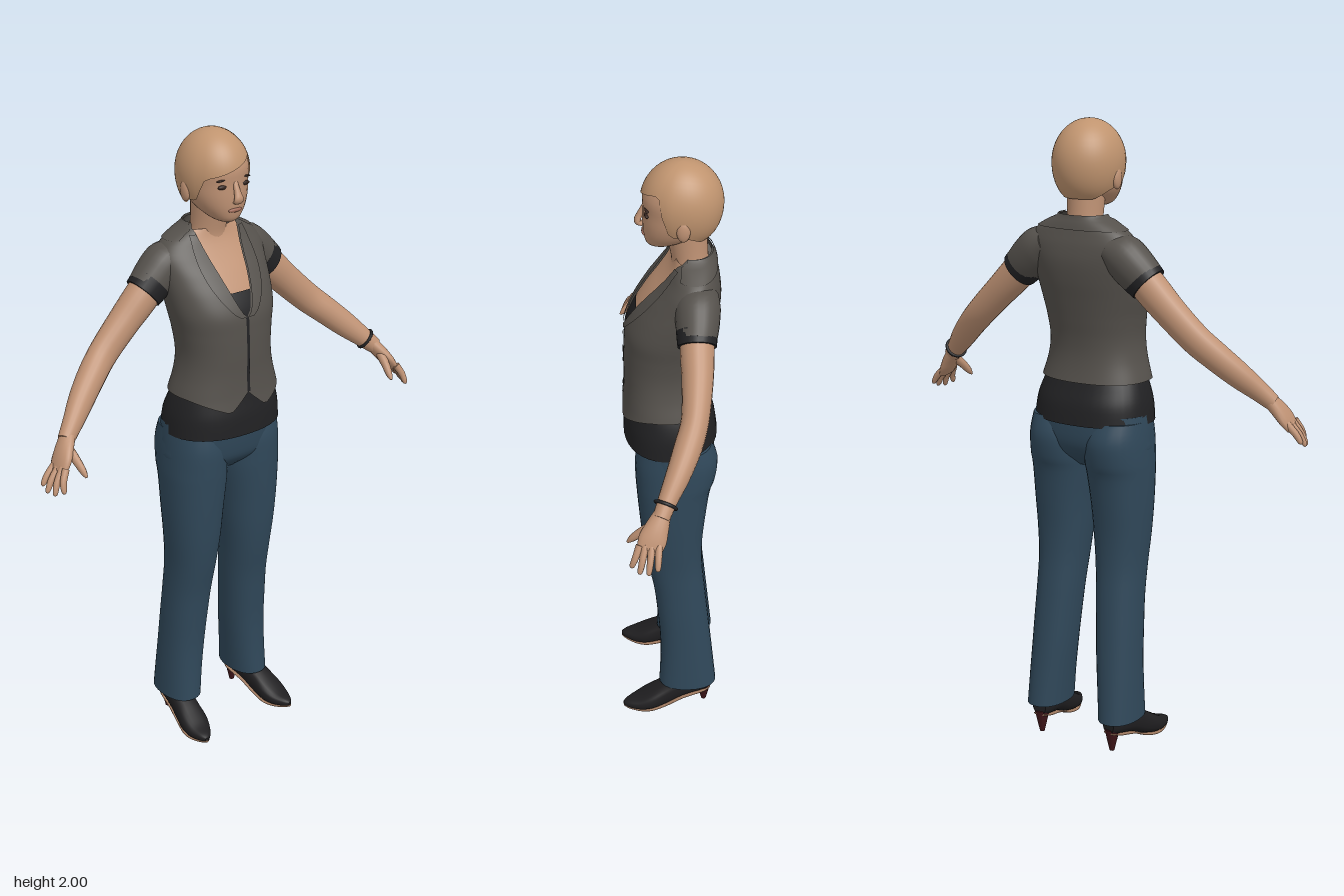
import * as THREE from 'three';

const mat = (name, color, side = THREE.FrontSide) => {
  const m = new THREE.MeshStandardMaterial({ color, side });
  m.name = name;
  return m;
};
const D = THREE.DoubleSide;
const skin = mat('skin', 0xbf9274, D), hair = mat('hair', 0xc0946f, D), vestCloth = mat('vest cloth', 0x55514c, D);
const black = mat('black cloth', 0x212123, D), denim = mat('denim', 0x30485a), leather = mat('shoe leather', 0x1f1e20);
const red = mat('dark red heel', 0x40161a), sole = mat('sole', 0xa07a60), dark = mat('eye brown', 0x33231d), lip = mat('lips', 0xa06a58);

const V = (x, y, z) => new THREE.Vector3(x, y, z);
const lerp = THREE.MathUtils.lerp;
const spow = (a, p) => Math.sign(a) * Math.abs(a) ** p;

// Smooth interpolation through rows of a table at index t
function sample(rows, t) {
  const n = rows.length - 1, i = Math.min(Math.floor(t), n - 1), f = t - i;
  const at = k => rows[Math.max(0, Math.min(n, k))];
  return rows[0].map((_, c) => {
    const [a, b, d, e] = [at(i - 1)[c], at(i)[c], at(i + 1)[c], at(i + 2)[c]];
    return b + 0.5 * f * (d - a + f * (2 * a - 5 * b + 4 * d - e + f * (3 * (b - d) + e - a)));
  });
}
function refine(rows, k = 4) {
  const out = [];
  for (let i = 0; i <= (rows.length - 1) * k; i++) out.push(sample(rows, i / k));
  return out;
}

// Skin a list of rings, facing outward
function loft(name, material, rings, { closed = true, caps = true } = {}) {
  const n = rings[0].length, pts = rings.flat(), idx = [];
  const cols = closed ? n : n - 1;
  for (let r = 0; r < rings.length - 1; r++) for (let j = 0; j < cols; j++) {
    const a = r * n + j, b = r * n + (j + 1) % n, c = a + n, d = b + n;
    idx.push(a, b, d, a, d, c);
  }
  if (closed && caps) [rings[0], rings[rings.length - 1]].forEach((ring, e) => {
    const s = pts.length, mid = ring.reduce((m, p) => m.add(p), V(0, 0, 0)).divideScalar(n);
    pts.push(...ring, mid);
    for (let j = 0; j < n; j++) {
      const k = (j + 1) % n;
      if (e) idx.push(s + j, s + k, s + n);
      else idx.push(s + k, s + j, s + n);
    }
  });
  let vol = 0;
  const o = pts[0], [A, B, C] = [V(), V(), V()];
  for (let i = 0; i < idx.length; i += 3) {
    A.subVectors(pts[idx[i]], o); B.subVectors(pts[idx[i + 1]], o); C.subVectors(pts[idx[i + 2]], o);
    vol += A.dot(B.cross(C));
  }
  if (vol < 0) idx.reverse();
  const g = new THREE.BufferGeometry().setFromPoints(pts);
  g.setIndex(idx);
  g.computeVertexNormals();
  const m = new THREE.Mesh(g, material);
  m.name = name;
  return m;
}

// Upright body from rows [y, xMin, xMax, zFront, zBack]
function hull(name, material, rows, s = 1, p = 0.9, n = 28) {
  return loft(name, material, refine(rows).map(([y, a, b, f, k]) => Array.from({ length: n }, (_, j) => {
    const t = j / n * 2 * Math.PI;
    return V(s * ((a + b) / 2 + (b - a) / 2 * spow(Math.sin(t), p)), y, (f + k) / 2 + (f - k) / 2 * spow(Math.cos(t), p));
  })));
}

// Limb along a path from rows [x, y, z, radius along depth, radius across]
function limb(name, material, rows, s = 1, n = 16, k = 4) {
  const rs = refine(rows, k), c = rs.map(r => V(s * r[0], r[1], r[2]));
  return loft(name, material, rs.map((r, i) => {
    const t = c[Math.min(i + 1, c.length - 1)].clone().sub(c[Math.max(i - 1, 0)]).normalize();
    const b = V(0, 0, 1).addScaledVector(t, -t.z).normalize(), m = t.clone().cross(b);
    return Array.from({ length: n }, (_, j) => {
      const a = j / n * 2 * Math.PI;
      return c[i].clone().addScaledVector(b, r[3] * Math.cos(a)).addScaledVector(m, r[4] * Math.sin(a));
    });
  }));
}
function ball(name, material, pos, size, rz = 0) {
  const m = new THREE.Mesh(new THREE.SphereGeometry(1, 20, 12), material);
  m.name = name; m.position.set(...pos); m.scale.set(...size); m.rotation.z = rz;
  return m;
}

// Torso surface: rows [y, half width, zFront, zBack]
const TORSO = [[1.14, .193, .152, -.143], [1.2, .176, .144, -.12], [1.27, .156, .14, -.107], [1.33, .149, .14, -.108],
  [1.4, .156, .138, -.12], [1.46, .168, .132, -.132], [1.52, .176, .105, -.144], [1.58, .182, .065, -.15],
  [1.63, .185, .025, -.145], [1.67, .155, 0, -.135], [1.695, .11, -.008, -.128], [1.715, .07, -.01, -.12]];
function torsoRow(y) {
  let i = 0;
  while (i < TORSO.length - 2 && y > TORSO[i + 1][0]) i++;
  return sample(TORSO, i + THREE.MathUtils.clamp((y - TORSO[i][0]) / (TORSO[i + 1][0] - TORSO[i][0]), 0, 1));
}
function torso(y, t, off = 0) {
  const [, w, f, b] = torsoRow(y);
  return V((w + off) * spow(Math.sin(t), .88), y, (f + b) / 2 + ((f - b) / 2 + off) * spow(Math.cos(t), .88));
}
// Angle of the neckline edge at height y, plus an extra width
function edge(y, extra = 0) {
  const x = .068 * Math.max(0, (y - 1.455) / .2) ** .6 + extra;
  return Math.asin(Math.min(.97, (x / torsoRow(y)[1]) ** (1 / .88)));
}
function patch(name, material, f, nu, nv) {
  return loft(name, material, Array.from({ length: nv + 1 }, (_, v) =>
    Array.from({ length: nu + 1 }, (_, u) => torso(...f(u / nu, v / nv)))), { closed: false });
}

function buildTorso(g) {
  // Vest with open neckline and pointed front hem
  g.add(patch('vest', vestCloth, (u, v) => {
    const y0 = lerp(1.2, 1.715, v), e = edge(y0), t = lerp(e, 2 * Math.PI - e, u);
    const x = Math.abs(torso(1.2, t).x), front = Math.cos(t) > 0;
    const drop = !front ? 0 : x < .06 ? lerp(.012, -.045, x / .06) : lerp(-.045, 0, Math.min(1, (x - .06) / .11));
    return [y0 + drop * (1 - v) ** 3, t, .002];
  }, 72, 48));
  for (const s of [1, -1])
    g.add(patch('lapel', vestCloth, (u, v) => {
      const y = lerp(1.455, 1.69, v);
      return [y, s * lerp(edge(y), edge(y, .008 + .04 * Math.sin(Math.PI * Math.min(1, v * .8 + .12))), u), .008];
    }, 6, 20));
  g.add(patch('collar', vestCloth, (u, v) => {
    const y = lerp(1.675, 1.718, v), e = Math.max(1, edge(y));
    return [y, lerp(e, 2 * Math.PI - e, u), .008];
  }, 36, 5));
  g.add(patch('vestSeam', black, (u, v) => [lerp(1.215, 1.455, v), lerp(-.02, .02, u), .005], 2, 14));
  // Chest and camisole inside the neckline
  g.add(patch('chest', skin, (u, v) => [lerp(1.44, 1.7, v), lerp(-1, 1, u), -.005], 20, 16));
  g.add(patch('camisole', black, (u, v) => [lerp(1.44, 1.525, v), lerp(-.35, .35, u), -.001], 10, 6));
  g.add(hull('undershirt', black, [[1.07, -.196, .196, .145, -.147], [1.13, -.19, .19, .142, -.138],
    [1.18, -.176, .176, .132, -.117], [1.22, -.158, .158, .125, -.1]], 1, .88, 40));
}

function buildHead(g) {
  g.add(hull('neck', skin, [[1.58, -.075, .075, .01, -.12], [1.66, -.062, .062, -.004, -.117],
    [1.71, -.056, .056, 0, -.112], [1.8, -.058, .058, .02, -.11]], 1, 1));
  g.add(hull('head', skin, [[1.733, -.022, .022, .058, .005], [1.745, -.045, .045, .071, -.03], [1.775, -.073, .073, .078, -.085],
    [1.81, -.089, .089, .08, -.115], [1.85, -.096, .096, .079, -.135], [1.9, -.098, .098, .078, -.14],
    [1.95, -.08, .08, .05, -.12], [1.98, -.04, .04, 0, -.07]], 1, .95, 32));
  // Short hair with a slanted fringe
  const rings = [], N = 48;
  for (let r = 0; r <= 18; r++) rings.push(Array.from({ length: N }, (_, j) => {
    const t = (j / N * 2 - 1) * Math.PI, a = Math.abs(t);
    const sweep = 1.9 + .035 * Math.sin(t), back = lerp(1.8, 1.765, THREE.MathUtils.smoothstep(a, 1.5, 2.4));
    const hem = lerp(sweep, back, THREE.MathUtils.smoothstep(a, .85, 1.25));
    const f = lerp(0, Math.acos((hem - 1.87) / .13), r / 18), k = f > Math.PI / 2 ? Math.sin(f) ** .75 : Math.sin(f);
    return V(.109 * k * Math.sin(t), 1.87 + .13 * Math.cos(f), -.035 + .122 * k * Math.cos(t));
  }));
  g.add(loft('hair', hair, rings, { caps: false }));
  // Face
  g.add(limb('nose', skin, [[0, 1.86, .074, .006, .008], [0, 1.83, .087, .009, .011], [0, 1.808, .094, .01, .017], [0, 1.798, .08, .006, .012]], 1, 12));
  g.add(ball('mouth', lip, [0, 1.774, .076], [.025, .007, .007]));
  for (const s of [1, -1]) {
    g.add(ball('eye', dark, [s * .04, 1.848, .068], [.018, .007, .007]));
    g.add(ball('eyebrow', dark, [s * .042, 1.869, .067], [.021, .003, .007], -s * .12));
    g.add(ball('ear', skin, [s * .101, 1.825, -.035], [.012, .033, .02]));
  }
}

function buildArm(s) {
  const g = new THREE.Group();
  g.name = s > 0 ? 'leftArm' : 'rightArm';
  g.add(limb('sleeve', vestCloth, [[.11, 1.62, -.078, .06, .05], [.15, 1.6, -.075, .067, .068], [.19, 1.565, -.073, .064, .068], [.222, 1.535, -.07, .058, .064]], s, 24));
  g.add(limb('sleeveCuff', black, [[.203, 1.552, -.071, .061, .067], [.236, 1.522, -.07, .057, .062]], s, 24));
  g.add(limb('arm', skin, [[.19, 1.565, -.072, .05, .055], [.25, 1.505, -.07, .05, .055], [.31, 1.448, -.068, .046, .051], [.39, 1.374, -.058, .041, .048],
    [.45, 1.322, -.035, .041, .045], [.51, 1.268, -.004, .036, .041], [.56, 1.222, .026, .029, .033], [.6, 1.185, .048, .025, .026]], s, 20));
  g.add(limb('palm', skin, [[.59, 1.195, .043, .025, .022], [.615, 1.163, .06, .035, .021], [.634, 1.135, .073, .041, .018], [.65, 1.11, .083, .036, .012]], s));
  // Fingers: knuckle to tip
  for (const [kz, x, y, z] of [[.055, .695, 1.068, .06], [.075, .696, 1.055, .086], [.094, .686, 1.052, .112], [.11, .668, 1.062, .135]])
    g.add(limb('finger', skin, [[.643, 1.125, kz, .011, .012], [lerp(.645, x, .5) + .004, lerp(1.125, y, .5), lerp(kz, z, .5), .01, .011],
      [lerp(.645, x, .9), lerp(1.125, y, .9), lerp(kz, z, .9), .008, .008], [x, y, z, .003, .003]], s, 10, 3));
  g.add(limb('thumb', skin, [[.606, 1.165, .07, .016, .015], [.601, 1.138, .104, .014, .013], [.596, 1.112, .13, .011, .01], [.594, 1.097, .144, .004, .004]], s, 10, 3));
  if (s > 0) {
    const b = new THREE.Mesh(new THREE.TorusGeometry(.032, .005, 8, 24), black);
    b.name = 'bracelet';
    b.position.set(.572, 1.211, .033);
    b.quaternion.setFromUnitVectors(V(0, 0, 1), V(.68, -.63, .38).normalize());
    g.add(b);
  }
  return g;
}

function buildLeg(s) {
  const g = new THREE.Group();
  g.name = s > 0 ? 'leftLeg' : 'rightLeg';
  g.add(hull('trouserLeg', denim, [[1.08, .015, .194, .1, -.125], [1.02, .004, .2, .112, -.145], [.95, .001, .203, .111, -.138], [.9, .003, .203, .108, -.123],
    [.8, .014, .2, .1, -.11], [.7, .022, .194, .09, -.101], [.6, .032, .187, .075, -.101], [.5, .04, .187, .056, -.11],
    [.4, .048, .19, .045, -.12], [.3, .056, .193, .037, -.13], [.2, .066, .197, .036, -.14], [.1, .075, .201, .04, -.15]], s));
  // Pointed shoe: rows [z, half width, bottom, top], toe turned outward
  const shoe = new THREE.Group();
  shoe.name = 'shoe';
  const rows = refine([[-.045, .022, .065, .12], [-.02, .036, .058, .13], [.05, .04, .042, .13], [.11, .042, .016, .1], [.16, .046, .005, .07],
    [.2, .038, .005, .048], [.235, .02, .01, .036], [.25, .006, .016, .028]]);
  const cross = f => rows.map(r => Array.from({ length: 20 }, (_, j) => f(r, j / 10 * Math.PI)));
  shoe.add(loft('shoeUpper', leather, cross(([z, w, a, b], t) => V(w * spow(Math.cos(t), .8), (a + b) / 2 + (b - a) / 2 * spow(Math.sin(t), .8), z))));
  shoe.add(loft('shoeSole', sole, cross(([z, w, a], t) => V(w * .85 * Math.cos(t), a - .001 + .004 * Math.sin(t), z))));
  const heel = new THREE.Mesh(new THREE.CylinderGeometry(.025, .008, .075, 14), red);
  heel.name = 'heel';
  heel.position.set(0, .0375, -.026);
  shoe.add(heel);
  shoe.position.set(s * .14, 0, -.085);
  shoe.rotation.y = s * .14;
  g.add(shoe);
  return g;
}

export function createModel() {
  const g = new THREE.Group();
  g.name = 'standingWoman';
  buildHead(g);
  buildTorso(g);
  g.add(hull('trouserHips', denim, [[1.1, -.193, .193, .125, -.14], [1.02, -.2, .2, .116, -.138], [.97, -.19, .19, .1, -.118], [.925, -.08, .08, .05, -.07]], 1, .88, 40));
  for (const s of [1, -1]) g.add(buildArm(s), buildLeg(s));
  return g;
}
